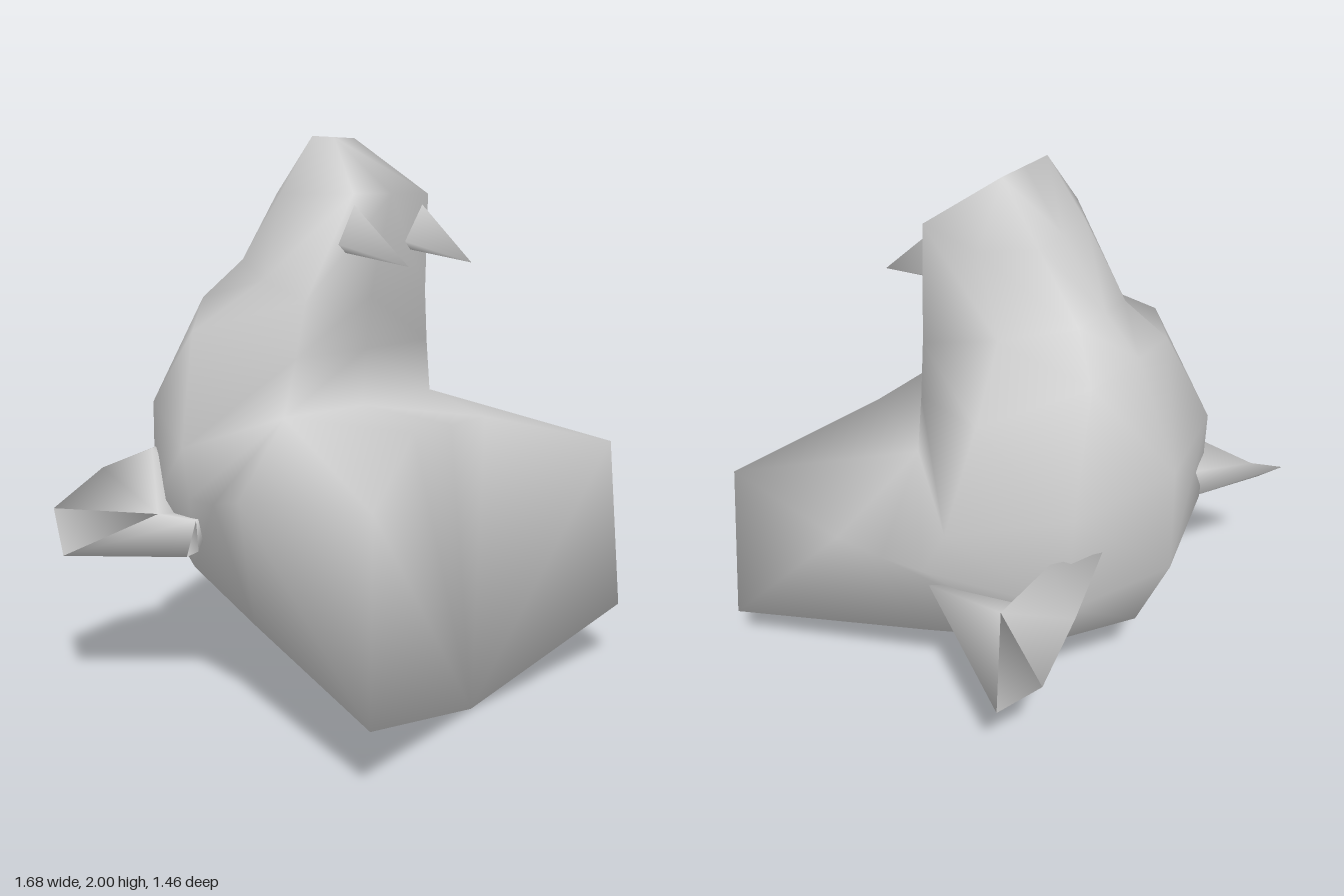
import * as THREE from 'three';
import { mergeVertices } from 'three/addons/utils/BufferGeometryUtils.js';

// Smooth mesh from points and triangles; shared points are welded and collapsed triangles dropped
function buildMesh(name, points, faces, material) {
  const same = (a, b) => points[a].every((v, i) => v === points[b][i]);
  const solid = faces.filter(([a, b, c]) => !same(a, b) && !same(b, c) && !same(c, a));
  let geometry = new THREE.BufferGeometry();
  geometry.setAttribute('position', new THREE.Float32BufferAttribute(points.flat(), 3));
  geometry.setIndex(solid.flat());
  geometry = mergeVertices(geometry);
  geometry.computeVertexNormals();
  const mesh = new THREE.Mesh(geometry, material);
  mesh.name = name;
  return mesh;
}

// Mirrors points across x = 0 and keeps the faces turned outwards
function mirrored(name, points, faces, material) {
  return buildMesh(name, points.map(([x, y, z]) => [-x, y, z]),
    faces.map(([a, b, c]) => [a, c, b]), material);
}

// The lower sections all hinge on the fold under the neck
const FOLD = [[0, 1.04, 0.08], [0.43, 1.05, 0.08]];

// Half sections from the crown down the back and forward to the blunt end;
// each runs from the inner centre over the left side to the outer centre
const SECTIONS = [
  [[0, 2, -0.05], [0.12, 2, -0.05], [0.12, 2, -0.05], [0.12, 2, -0.05], [0, 2, -0.05]],
  [[0, 1.8, 0.21], [0.22, 1.8, 0.21], [0.27, 1.8, -0.07], [0.13, 1.8, -0.21], [0, 1.8, -0.21]],
  [[0, 1.44, 0.12], [0.35, 1.44, 0.11], [0.27, 1.5, -0.15], [0.13, 1.56, -0.38], [0, 1.57, -0.39]],
  [[0, 1.25, 0.1], [0.385, 1.25, 0.095], [0.52, 1.33, -0.26], [0.22, 1.42, -0.5], [0, 1.45, -0.53]],
  [...FOLD, [0.63, 0.94, -0.21], [0.41, 1.04, -0.58], [0, 1.06, -0.7]],
  [...FOLD, [0.67, 0.78, -0.14], [0.42, 0.67, -0.57], [0, 0.66, -0.71]],
  [...FOLD, [0.71, 0.79, 0.01], [0.33, 0.41, -0.46], [0, 0.35, -0.58]],
  [...FOLD, [0.76, 0.83, 0.17], [0.5, 0.32, 0], [0, 0.1, -0.07]],
  [[0, 1.01, 0.47], [0.22, 1.01, 0.47], [0.75, 0.87, 0.7], [0.8, 0.22, 0.73], [0, 0, 0.57]],
];

function createBody(material) {
  const points = [], faces = [], n = 8;
  for (const half of SECTIONS) {
    const other = half.slice(1, 4).reverse().map(([x, y, z]) => [-x, y, z]);
    points.push(...half, ...other);
  }
  for (let i = 0; i < SECTIONS.length - 1; i++) {
    for (let j = 0; j < n; j++) {
      const a = i * n + j, b = i * n + (j + 1) % n;
      // Diagonals mirror from the left half to the right half
      if (j < n / 2) faces.push([a, a + n, b + n], [a, b + n, b]);
      else faces.push([a, a + n, b], [b, a + n, b + n]);
    }
  }
  // Blunt front end, fanned from its lowest point
  const last = (SECTIONS.length - 1) * n;
  for (let j = 0; j < n; j++) faces.push([last + 4, last + (j + 1) % n, last + j]);
  return buildMesh('body', points, faces, material);
}

export function createModel() {
  const model = new THREE.Group();
  model.name = 'seaAnimal';
  const grey = new THREE.MeshStandardMaterial({ color: 0xcccccc });
  grey.name = 'grey skin';
  model.add(createBody(grey));

  // Tusks: four-sided spikes pointing forward and down
  const tusk = [
    [0.19, 1.56, 0.42], [0.2, 1.77, 0.19], [0.145, 1.63, 0.16], [0.19, 1.6, 0.15], [0.24, 1.63, 0.16],
  ];
  const tuskFaces = [[0, 1, 2], [0, 2, 3], [0, 3, 4], [0, 4, 1]];
  model.add(buildMesh('leftTusk', tusk, tuskFaces, grey));
  model.add(mirrored('rightTusk', tusk, tuskFaces, grey));

  // Flippers: rim from the front root round the tip to the upper root, closed by a hidden inner point
  const rim = [
    [0.64, 0.7, -0.14], [0.58, 0.57, -0.19], [0.48, 0.5, -0.35], [0.84, 0.54, -0.6], [0.77, 0.68, -0.73],
    [0.56, 0.8, -0.7], [0.3, 0.87, -0.62], [0.47, 0.88, -0.53], [0.57, 0.67, -0.4],
  ];
  const flipper = [...rim, [0.25, 0.62, -0.42]];
  const flipperFaces = [
    [0, 1, 2], [0, 2, 3], [0, 3, 8], [8, 3, 4], [8, 4, 5], [8, 5, 7], [7, 5, 6],
  ];
  rim.forEach((_, i) => flipperFaces.push([9, (i + 1) % rim.length, i]));
  model.add(buildMesh('leftFlipper', flipper, flipperFaces, grey));
  model.add(mirrored('rightFlipper', flipper, flipperFaces, grey));
  return model;
}
